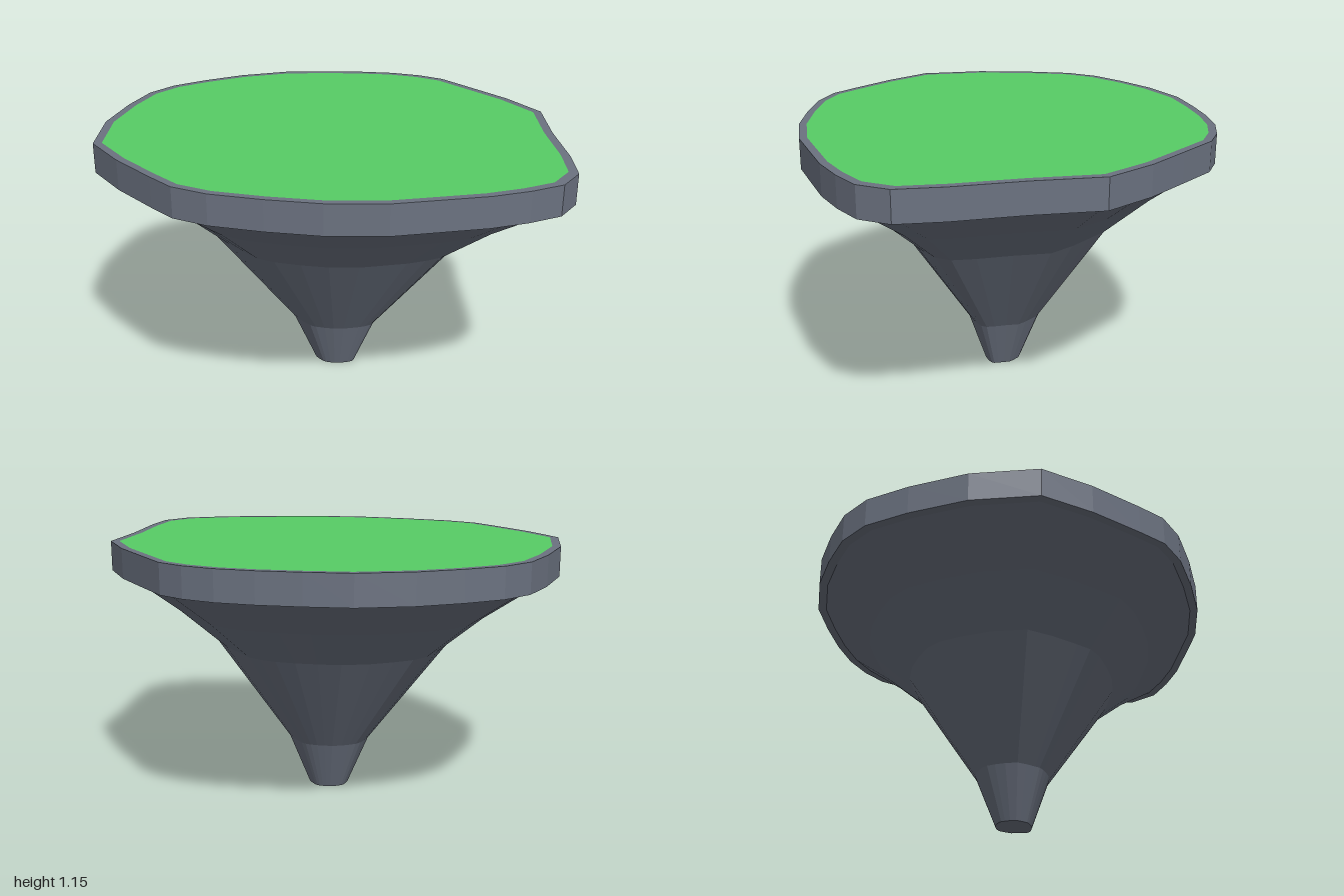
import * as THREE from 'three';

// Irregular island outline (x, z) at full width
const OUTLINE = [
  [-0.08, -0.91], [0.11, -0.89], [0.29, -0.86], [0.45, -0.815], [0.58, -0.75],
  [0.68, -0.67], [0.79, -0.49], [0.905, -0.3], [1, -0.08], [0.955, 0.215],
  [0.93, 0.51], [0.895, 0.705], [0.8, 0.81], [0.66, 0.855], [0.5, 0.885],
  [0.31, 0.895], [0.11, 0.905], [-0.13, 0.87], [-0.345, 0.8], [-0.55, 0.715],
  [-0.68, 0.625], [-0.76, 0.51], [-0.895, 0.3], [-1, 0.085], [-0.96, -0.205],
  [-0.865, -0.45], [-0.77, -0.63], [-0.655, -0.735], [-0.495, -0.81], [-0.31, -0.875],
];

// Skins the outline through levels of [y, scale, centreX, centreZ]; a scale of 0 closes the end
function loft(name, color, levels) {
  const rings = levels.map(([y, s, cx = 0, cz = 0]) =>
    OUTLINE.map(([x, z]) => [cx + x * s, y, cz + z * s]));
  const positions = [];
  const n = OUTLINE.length;
  for (let r = 0; r < rings.length - 1; r++) {
    for (let i = 0; i < n; i++) {
      const j = (i + 1) % n;
      const a = rings[r][i], b = rings[r][j], c = rings[r + 1][j], d = rings[r + 1][i];
      if (levels[r + 1][1] > 0) positions.push(...a, ...d, ...c);
      if (levels[r][1] > 0) positions.push(...a, ...c, ...b);
    }
  }
  const geometry = new THREE.BufferGeometry();
  geometry.setAttribute('position', new THREE.Float32BufferAttribute(positions, 3));
  geometry.computeVertexNormals();
  const mesh = new THREE.Mesh(geometry, new THREE.MeshStandardMaterial({ color, flatShading: true }));
  mesh.name = name;
  return mesh;
}

export function createModel() {
  const group = new THREE.Group();
  group.name = 'floatingIsland';
  const rock = 0x6b7280, grass = 0x57cc65;

  // Tapering underside, drifting slightly off centre towards the tip
  group.add(loft('rockUnderside', rock, [
    [0, 0, 0.04, 0.01],
    [0, 0.09, 0.04, 0.01],
    [0.23, 0.185, 0.035, 0.005],
    [0.69, 0.525, 0.015, 0.005],
    [0.86, 0.73, 0.01, 0],
    [1.02, 0.96],
  ]));

  // Upright rim with a narrow ledge below and a border on top
  group.add(loft('rockRim', rock, [[1.02, 0.96], [1.02, 1], [1.15, 1], [1.15, 0.963]]));

  // Flat grass surface inside the border
  group.add(loft('grassTop', grass, [[1.15, 0.963], [1.15, 0]]));
  return group;
}
